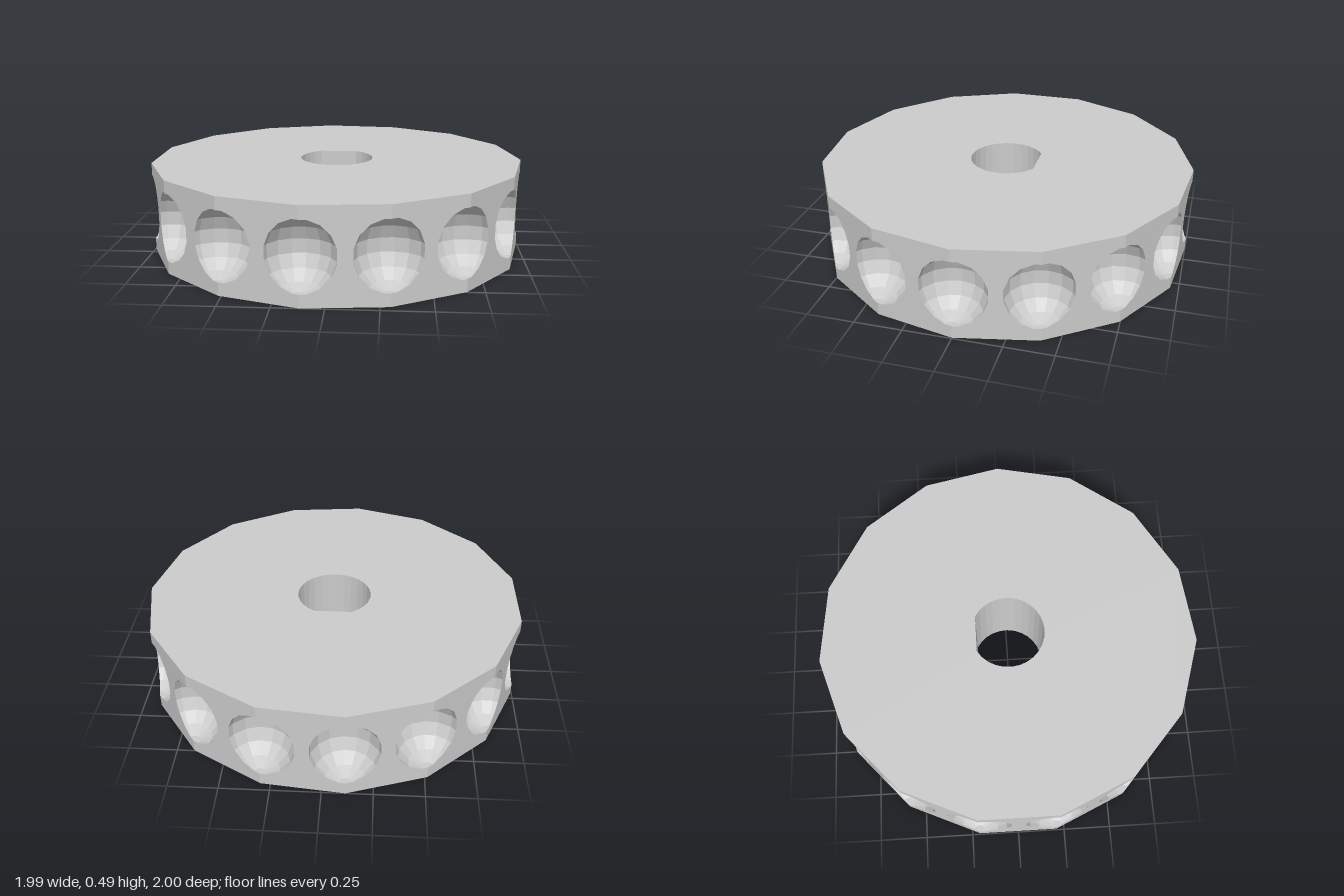
import * as THREE from 'three';

const SIDES = 15, R = 1.0055, H = 0.487, MID = H / 2, CENTRE_X = -0.011;
const STEP = (2 * Math.PI) / SIDES;
const BORE_R = 0.197, BORE_FLAT = 0.17;
const POCKET_R = 0.18, POCKET_STEP = 22.5;
const rad = THREE.MathUtils.degToRad;

const material = new THREE.MeshStandardMaterial({ color: 0xcccccc, flatShading: true });

// Pocket profile [radius, height] from top cap to bottom cap, sixteen-sided sphere with flat poles
const rings = Array.from({ length: 8 }, (_, i) => {
  const latitude = rad(90 - (i + 0.5) * POCKET_STEP);
  return [POCKET_R * Math.cos(latitude), POCKET_R * Math.sin(latitude)];
});
const profile = [[0, rings[0][1]], ...rings, [0, rings[7][1]]];

// The pocket's azimuth columns end where the two neighbouring wall faces cut it
const edgeAngle = 90 - 180 / SIDES;
const edgeScale = Math.cos(rad(POCKET_STEP / 2)) / Math.cos(rad(edgeAngle - 3.5 * POCKET_STEP));
const columns = [edgeAngle, 67.5, 45, 22.5, 0, -22.5, -45, -67.5, -edgeAngle];

// Bends a plane grid into a surface; place(column, row) returns [x, y, z]
function gridSurface(cols, rows, place) {
  const geometry = new THREE.PlaneGeometry(1, 1, cols, rows);
  const position = geometry.attributes.position;
  for (let row = 0; row <= rows; row++) {
    for (let col = 0; col <= cols; col++) {
      position.setXYZ(row * (cols + 1) + col, ...place(col, row));
    }
  }
  geometry.computeVertexNormals();
  return geometry;
}

function pocketGeometry() {
  return gridSurface(columns.length - 1, profile.length - 1, (col, row) => {
    const scale = Math.abs(columns[col]) === edgeAngle ? edgeScale : 1;
    const phi = rad(columns[col]), [radius, y] = profile[row];
    return [R - Math.cos(phi) * radius * scale, MID + y, Math.sin(phi) * radius * scale];
  });
}

// One flat wall face with half a pocket cut from each end
function wallGeometry() {
  const half = R * Math.sin(STEP / 2);
  const left = profile.map(([r, y]) => new THREE.Vector2(-half + r * edgeScale, MID + y)); // top to bottom
  const right = profile.map(([r, y]) => new THREE.Vector2(half - r * edgeScale, MID + y)).reverse();
  const shape = new THREE.Shape([
    new THREE.Vector2(-half, 0), new THREE.Vector2(half, 0), ...right,
    new THREE.Vector2(half, H), new THREE.Vector2(-half, H), ...left,
  ]);
  return new THREE.ShapeGeometry(shape).translate(0, 0, R * Math.cos(STEP / 2));
}

// D-shaped bore outline, from one end of the flat round to the other
function boreOutline() {
  const start = Math.PI - Math.asin(BORE_FLAT / BORE_R);
  const end = 3 * Math.PI - start;
  return Array.from({ length: 25 }, (_, i) => {
    const a = start + ((end - start) * i) / 24;
    return new THREE.Vector2(BORE_R * Math.cos(a), BORE_R * Math.sin(a));
  });
}

// Flat polygon with the bore cut out; side is 1 for the top, -1 for the bottom
function faceGeometry(side) {
  const corners = Array.from({ length: SIDES }, (_, i) =>
    new THREE.Vector2(R * Math.cos(i * STEP), R * Math.sin(i * STEP)));
  const shape = new THREE.Shape(corners);
  shape.holes.push(new THREE.Path(boreOutline().map((p) => new THREE.Vector2(p.x, p.y * side))));
  return new THREE.ShapeGeometry(shape)
    .rotateX((-side * Math.PI) / 2)
    .translate(0, side > 0 ? H : 0, 0);
}

export function createModel() {
  const model = new THREE.Group();
  model.name = 'pocketWheel';
  const add = (name, geometry, angle = 0) => {
    const mesh = new THREE.Mesh(geometry, material);
    mesh.name = name;
    mesh.rotation.y = angle;
    mesh.position.x = CENTRE_X;
    model.add(mesh);
  };

  add('topFace', faceGeometry(1));
  add('bottomFace', faceGeometry(-1));

  // Bore wall, facing the axis
  const outline = boreOutline().reverse();
  outline.push(outline[0]);
  add('boreWall', gridSurface(outline.length - 1, 1, (col, row) =>
    [outline[col].x, row === 0 ? H : 0, -outline[col].y]));

  // Rim: a flat wall per side and a ball pocket on every corner
  const wall = wallGeometry(), pocket = pocketGeometry();
  for (let i = 0; i < SIDES; i++) {
    add('rimWall', wall, Math.PI / 2 + (i + 0.5) * STEP);
    add('ballPocket', pocket, i * STEP);
  }
  return model;
}
